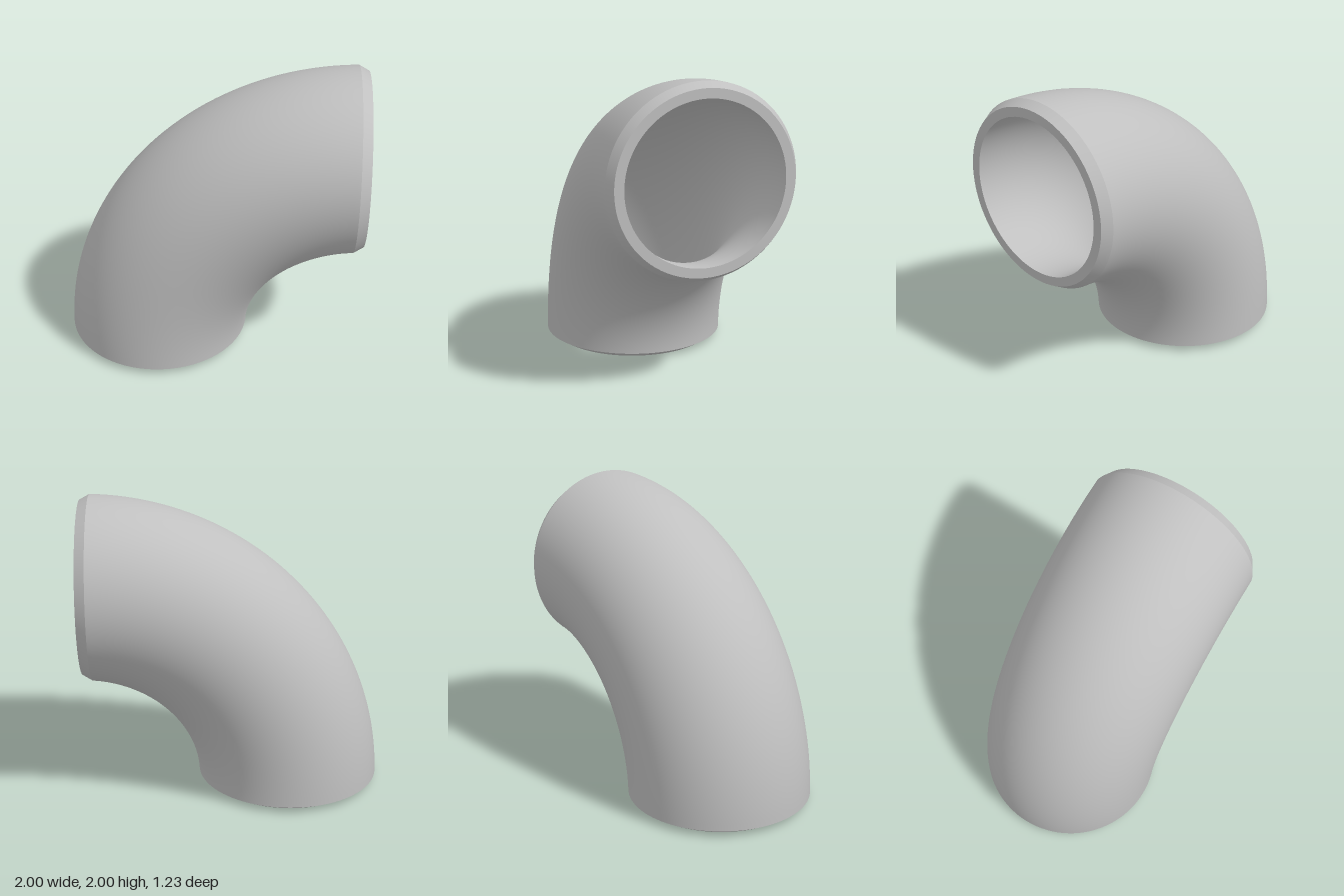
import * as THREE from 'three';

const BEND = 1.384;   // bend radius of the centre line, about (1, 0)
const OUTER = 0.616;  // outer pipe radius
const BORE = 0.518;   // inner pipe radius
const SIDES = 96, STEPS = 64;

// Point on a pipe of given radius: phi runs round the pipe, t along the bend
function bendPoint(radius, phi, t) {
  const rho = BEND + radius * Math.cos(phi);
  return [1 - rho * Math.cos(t), rho * Math.sin(t), radius * Math.sin(phi)];
}

// Skin a run of closed rings; each ring is a function phi -> [x, y, z]
function loft(rings) {
  const pos = [], idx = [];
  rings.forEach((ring, j) => {
    for (let i = 0; i < SIDES; i++) {
      pos.push(...ring((i / SIDES) * Math.PI * 2));
      if (j === rings.length - 1) continue;
      const n = (i + 1) % SIDES;
      const a = j * SIDES + i, b = j * SIDES + n;
      idx.push(a, b, b + SIDES, a, b + SIDES, a + SIDES);
    }
  });
  const g = new THREE.BufferGeometry();
  g.setAttribute('position', new THREE.Float32BufferAttribute(pos, 3));
  g.setIndex(idx);
  g.computeVertexNormals();
  return g;
}

export function createModel() {
  const steel = new THREE.MeshStandardMaterial({ color: 0xc0c0c0 });
  steel.name = 'steel grey';
  const group = new THREE.Group();
  group.name = 'pipeElbow';
  const add = (name, rings) => {
    const mesh = new THREE.Mesh(loft(rings), steel);
    mesh.name = name;
    group.add(mesh);
  };

  // Flat rings at the two open ends
  const bottom = (r) => (phi) => bendPoint(r, phi, 0);
  const side = (r) => (phi) => bendPoint(r, phi, Math.PI / 2);

  // Outer skin, trimmed level at y = 0.04 and upright at x = 0.935
  const skin = (s) => (phi) => {
    const rho = BEND + OUTER * Math.cos(phi);
    const start = Math.asin(0.04 / rho), end = Math.acos(0.065 / rho);
    return bendPoint(OUTER, phi, start + (end - start) * s);
  };
  const steps = Array.from({ length: STEPS + 1 }, (_, j) => j / STEPS);

  add('outerWall', steps.map(skin));
  add('innerWall', steps.map((s) => (phi) => bendPoint(BORE, phi, (1 - s) * Math.PI / 2)));

  // Welding bevels and flat lips
  add('bottomLip', [bottom(BORE), bottom(0.55)]);
  add('bottomBevel', [bottom(0.55), skin(0)]);
  add('sideBevel', [skin(1), side(0.58)]);
  add('sideLip', [side(0.58), side(BORE)]);
  return group;
}
